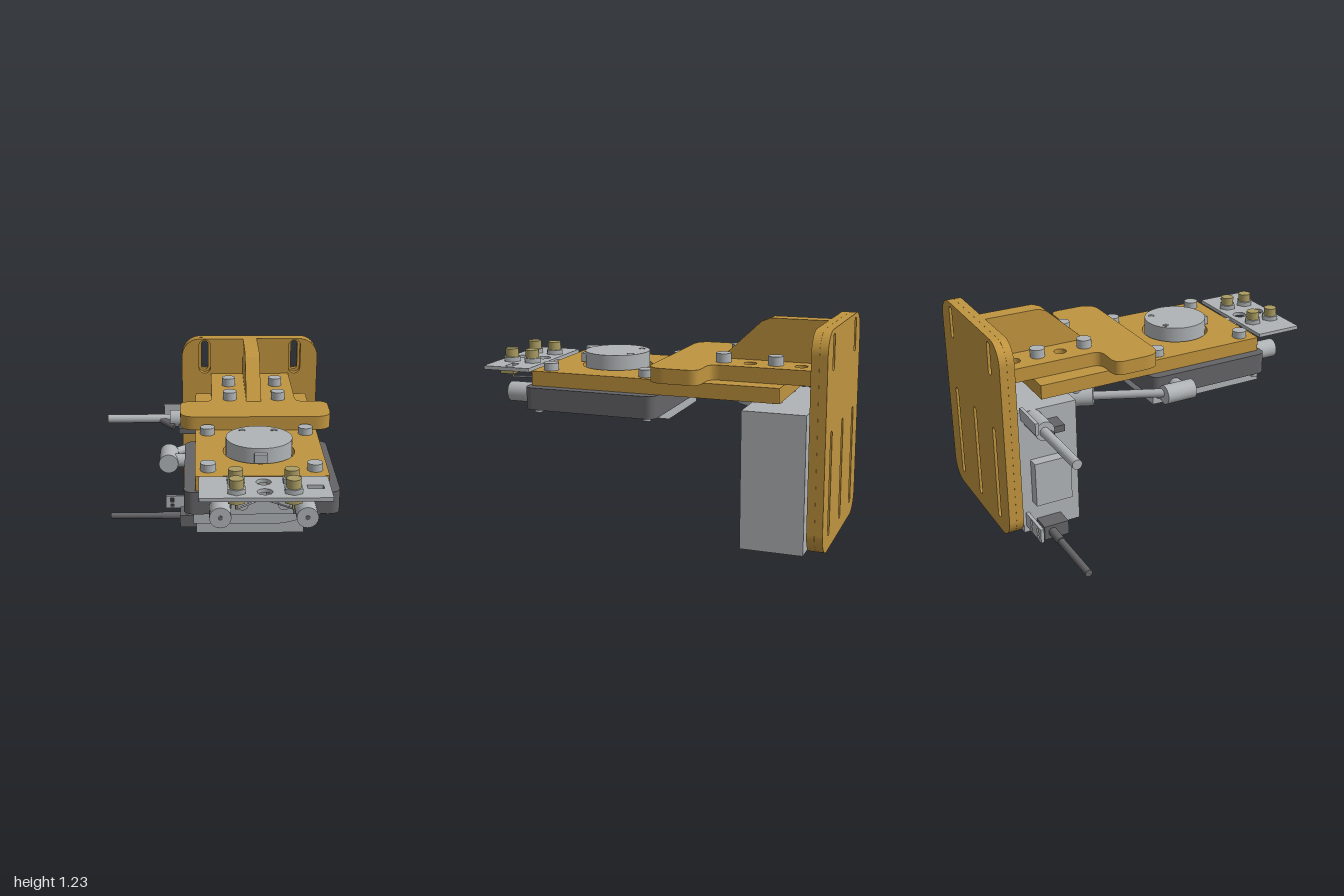
import * as THREE from 'three';

const mat = (name, color) => Object.assign(new THREE.MeshStandardMaterial({ color }), { name });

export function createModel() {
  const gold = mat('gold', 0xc0943f), grey = mat('grey', 0xb0b4b6), dark = mat('darkGrey', 0x646467);
  const brass = mat('brass', 0xaa9c62), green = mat('boardGreen', 0x2a5c40);
  const root = new THREE.Group();
  root.name = 'bracketAssembly';

  const add = (name, geo, m) => {
    const mesh = new THREE.Mesh(geo, m);
    mesh.name = name;
    root.add(mesh);
    return mesh;
  };
  // box given by its limits on each axis
  const box = (name, m, x0, x1, y0, y1, z0, z1) =>
    add(name, new THREE.BoxGeometry(x1 - x0, y1 - y0, z1 - z0)
      .translate((x0 + x1) / 2, (y0 + y1) / 2, (z0 + z1) / 2), m);
  // cylinder between two points
  const rod = (name, m, a, b, r, sides = 28, r2 = r) => {
    const p = new THREE.Vector3(...a), q = new THREE.Vector3(...b), d = q.clone().sub(p);
    const mesh = add(name, new THREE.CylinderGeometry(r2, r, d.length(), sides), m);
    mesh.position.copy(p).add(q).multiplyScalar(0.5);
    mesh.quaternion.setFromUnitVectors(new THREE.Vector3(0, 1, 0), d.normalize());
    return mesh;
  };
  const post = (name, m, x, z, y0, y1, r, sides) => rod(name, m, [x, y0, z], [x, y1, z], r, sides);
  const roundRect = (x0, x1, y0, y1, r, C = THREE.Shape) => {
    const s = new C();
    s.absarc(x1 - r, y0 + r, r, -Math.PI / 2, 0);
    s.absarc(x1 - r, y1 - r, r, 0, Math.PI / 2);
    s.absarc(x0 + r, y1 - r, r, Math.PI / 2, Math.PI);
    s.absarc(x0 + r, y0 + r, r, Math.PI, Math.PI * 1.5);
    s.closePath();
    return s;
  };
  const circle = (x, y, r) => new THREE.Path().absarc(x, y, r, 0, Math.PI * 2);
  const extrude = (s, depth) => new THREE.ExtrudeGeometry(s, { depth, bevelEnabled: false, curveSegments: 14 });
  // plan outline uses (x, -z) and rises from y0 to y1
  const slab = (name, m, s, y0, y1) =>
    add(name, extrude(s, y1 - y0).rotateX(-Math.PI / 2).translate(0, y0, 0), m);

  // upright mounting plate, slots wider on its front half
  for (const [name, z, w] of [['backPlateRear', -1, 0.021], ['backPlateFront', -0.957, 0.038]]) {
    const s = roundRect(-0.2, 0.69, 0.05, 1.235, 0.12);
    for (const x of [-0.05, 0.54])
      s.holes.push(roundRect(x - w, x + w, 1.115 - 0.075 - w, 1.115 + 0.075 + w, w, THREE.Path));
    for (const x of [-0.05, 0.245, 0.54])
      s.holes.push(roundRect(x - 0.021, x + 0.021, 0.13, 0.7, 0.02, THREE.Path));
    add(name, extrude(s, 0.0425).translate(0, 0, z), gold);
  }

  // T-shaped shelf with filleted neck
  const t = new THREE.Shape();
  t.moveTo(-0.01, 0.92);
  t.lineTo(-0.01, 0.38);
  t.quadraticCurveTo(-0.01, 0.32, -0.07, 0.32);
  t.lineTo(-0.14, 0.32);
  t.quadraticCurveTo(-0.2, 0.32, -0.2, 0.26);
  t.lineTo(-0.2, 0.13);
  t.quadraticCurveTo(-0.2, 0.03, -0.1, 0.03);
  t.lineTo(0.59, 0.03);
  t.quadraticCurveTo(0.69, 0.03, 0.69, 0.13);
  t.lineTo(0.69, 0.26);
  t.quadraticCurveTo(0.69, 0.32, 0.63, 0.32);
  t.lineTo(0.56, 0.32);
  t.quadraticCurveTo(0.5, 0.32, 0.5, 0.38);
  t.lineTo(0.5, 0.92);
  t.closePath();
  for (const x of [0.1, 0.395]) for (const y of [0.8, 0.52]) t.holes.push(circle(x, y, 0.035));
  slab('shelf', gold, t, 0.918, 1.0);

  // stiffening rib, profile in (z, y)
  const rib = new THREE.Shape([[0.92, 1], [0.32, 1], [0.55, 1.215], [0.6, 1.235], [0.92, 1.235]]
    .map(p => new THREE.Vector2(...p)));
  add('rib', extrude(rib, 0.09).rotateY(Math.PI / 2).translate(0.2, 0, 0), gold);

  // lower carrier plate with a round opening
  const carrier = roundRect(-0.11, 0.6, -0.69, 0.735, 0.005);
  carrier.holes.push(circle(0.245, -0.315, 0.2));
  slab('carrierPlate', gold, carrier, 0.835, 0.918);

  // shelf bolts with nuts, carrier screws, under-slab screws
  for (const x of [0.1, 0.395]) for (const z of [-0.66, -0.37]) {
    post('shelfBolt', grey, x, z, 0.99, 1.05, 0.042);
    post('shelfNut', grey, x, z, 0.795, 0.84, 0.042, 6);
  }
  for (const x of [-0.04, 0.53]) for (const z of [0.03, 0.6])
    post('carrierScrew', grey, x, z, 0.91, 0.96, 0.042);
  for (const x of [-0.14, 0.6]) for (const z of [0.0, 0.65])
    post('undersideScrew', grey, x, z, 0.688, 0.715, 0.022);

  // round cap with marks and key
  post('cap', grey, 0.245, 0.315, 0.836, 1.0, 0.185, 48);
  for (const x of [0.155, 0.335]) post('capMark', dark, x, 0.2, 0.995, 1.001, 0.02);
  box('capKey', grey, 0.21, 0.28, 0.925, 0.975, 0.47, 0.53);

  // sensor housing and its wedge-shaped underside
  slab('housing', dark, roundRect(-0.17, 0.66, -0.712, 0.065, 0.05), 0.71, 0.835);
  const wedge = new THREE.Shape([[-0.12, 0.645], [0.36, 0.645], [0.57, 0.7], [0.57, 0.711], [-0.12, 0.711]]
    .map(p => new THREE.Vector2(...p)));
  add('undersideWedge', extrude(wedge, 0.73).translate(0, 0, -0.04), grey);

  // front face panel and knobs
  box('frontPanel', grey, 0.08, 0.41, 0.712, 0.832, 0.69, 0.72);
  for (const x of [0.14, 0.36]) post('panelPin', grey, 0, 0, -0.006, 0.006, 0.032)
    .position.set(x, 0.77, 0.722), root.children.at(-1).rotation.set(Math.PI / 2, 0, 0);
  for (const x of [0.02, 0.47]) {
    rod('knobStem', grey, [x, 0.765, 0.7], [x, 0.765, 0.77], 0.03);
    rod('knob', grey, [x, 0.765, 0.75], [x, 0.765, 0.885], 0.057);
    rod('knobSocket', dark, [x, 0.765, 0.88], [x, 0.765, 0.887], 0.014, 6);
  }

  // terminal board with holes
  const board = roundRect(-0.09, 0.585, -1, -0.715, 0.004);
  board.holes.push(circle(0.245, -0.79, 0.04), circle(0.245, -0.92, 0.04),
    roundRect(0.465, 0.55, -0.88, -0.835, 0.004, THREE.Path));
  slab('terminalBoard', grey, board, 0.905, 0.926);
  box('boardSwitch', brass, 0.44, 0.57, 0.885, 0.905, 0.82, 0.9);
  box('boardTab', grey, 0.225, 0.265, 0.83, 0.915, 0.69, 0.74);

  // terminals and their thin leads
  for (const x of [0.1, 0.39]) for (const z of [0.79, 0.92]) {
    post('terminalNut', grey, x, z, 0.926, 0.952, 0.052, 6);
    post('terminalBrass', brass, x, z, 0.95, 1.0, 0.038);
    post('terminalBase', brass, x, z, 0.872, 0.905, 0.05, 6);
    post('terminalPin', brass, x, z, 0.83, 0.88, 0.006, 8);
    rod('lead', grey, [x, 0.832, z], [0.245, 0.81, 0.74], 0.005, 8);
  }

  // drive box with green board under it
  box('driveBox', grey, -0.11, 0.6, 0.018, 0.785, -0.88, -0.53);
  box('circuitBoard', green, -0.08, 0.58, 0.012, 0.019, -0.86, -0.55);
  box('chip', dark, 0.2, 0.29, 0.003, 0.014, -0.76, -0.66);
  for (const x of [-0.03, 0.53]) for (const z of [-0.82, -0.59]) post('boardScrew', grey, x, z, 0.004, 0.014, 0.018);
  box('rearTab', grey, -0.09, 0.0, 0.09, 0.16, -0.9, -0.88);
  box('sideCover', grey, -0.175, -0.11, 0.21, 0.48, -0.82, -0.6);

  // side pivot and slanted link
  rod('pivotBarrel', grey, [-0.265, 0.77, -0.05], [-0.265, 0.77, 0.135], 0.056);
  rod('pivotStub', grey, [-0.25, 0.77, 0.075], [-0.16, 0.77, 0.075], 0.04);
  rod('link', grey, [-0.26, 0.775, -0.02], [0.0, 0.73, -0.38], 0.025);
  rod('linkBarrel', grey, [-0.01, 0.731, -0.37], [0.06, 0.722, -0.49], 0.056);
  post('linkPin', grey, 0.03, -0.46, 0.72, 0.81, 0.03);

  // upper cable
  rod('upperCable', grey, [-0.69, 0.728, -0.797], [-0.27, 0.728, -0.797], 0.028);
  rod('upperBarrel', grey, [-0.28, 0.73, -0.793], [-0.11, 0.73, -0.793], 0.056);
  box('upperBracket', grey, -0.32, -0.1, 0.74, 0.81, -0.865, -0.845);
  box('upperBlock', dark, -0.22, -0.11, 0.67, 0.71, -0.74, -0.65);
  rod('upperSleeve', dark, [-0.35, 0.728, -0.797], [-0.25, 0.69, -0.75], 0.025);

  // lower cable, plug and perforated tab
  rod('lowerCable', dark, [-0.69, 0.047, -0.75], [-0.21, 0.047, -0.75], 0.021);
  rod('lowerSleeve', dark, [-0.34, 0.047, -0.75], [-0.21, 0.047, -0.75], 0.026);
  box('lowerPlug', dark, -0.22, -0.09, 0.004, 0.09, -0.8, -0.65);
  const tab = roundRect(-0.32, -0.1, 0.06, 0.147, 0.004);
  for (const x of [-0.277, -0.183])
    tab.holes.push(roundRect(x - 0.011, x + 0.011, 0.1, 0.135, 0.003, THREE.Path),
      roundRect(x - 0.011, x + 0.011, 0.066, 0.09, 0.003, THREE.Path));
  add('perforatedTab', extrude(tab, 0.02).translate(0, 0, -0.865), grey);

  return root;
}
